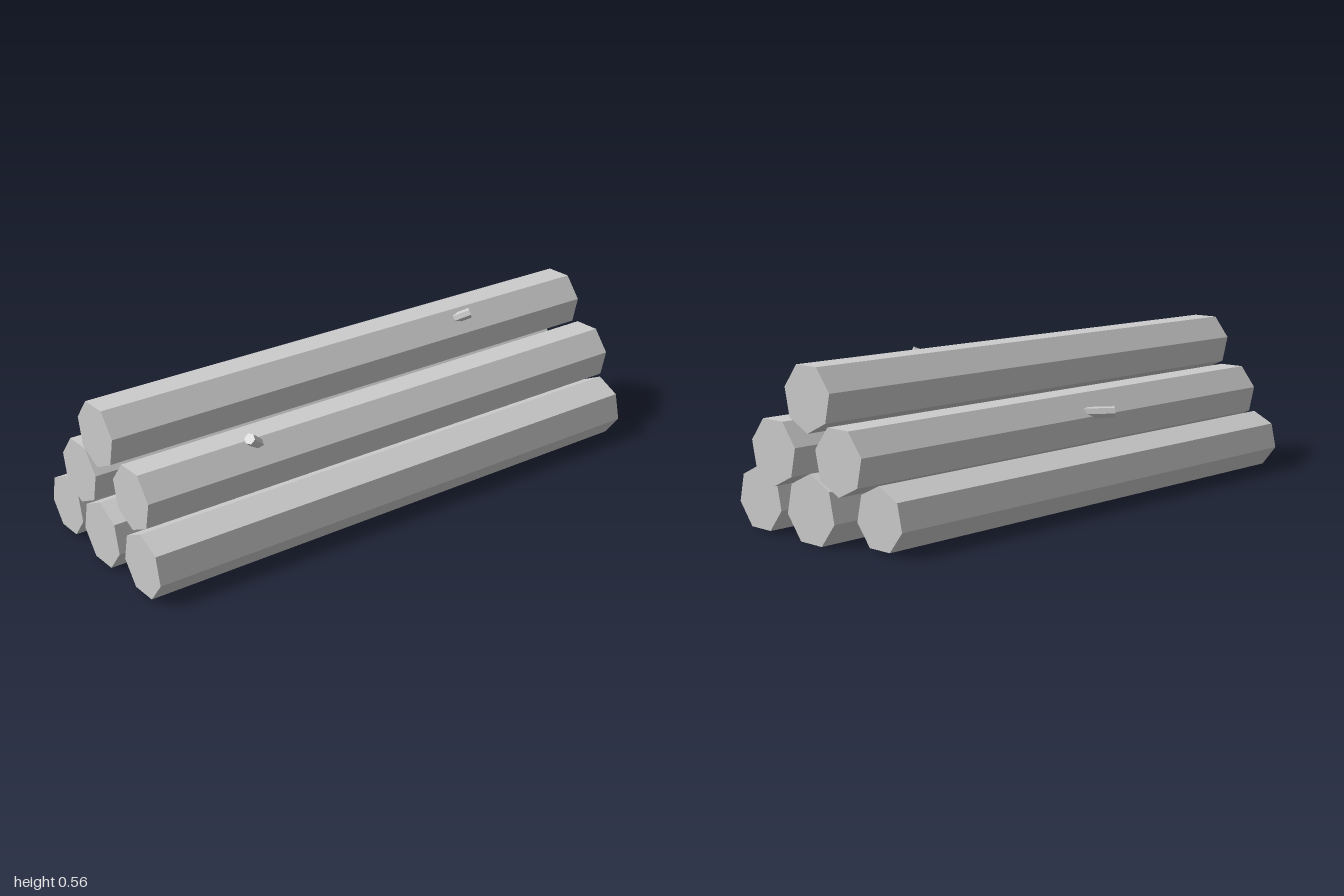
import * as THREE from 'three';

export function createModel() {
  const group = new THREE.Group();
  const material = new THREE.MeshStandardMaterial({ color: 0xcccccc, flatShading: true });

  // Seven-sided log along z; "up" puts a corner on top, otherwise it points down
  function addLog(name, x, y, zBack, zFront, rBack, rFront, up) {
    const geometry = new THREE.CylinderGeometry(rFront, rBack, zFront - zBack, 7);
    geometry.rotateX(Math.PI / 2);
    if (up) geometry.rotateZ(Math.PI);
    const log = new THREE.Mesh(geometry, material);
    log.name = name;
    log.position.set(x, y, (zFront + zBack) / 2);
    group.add(log);
  }

  // Six-sided cut branch, its base sunk into the log
  function addStub(name, base, tip, radius) {
    const a = new THREE.Vector3(...base);
    const b = new THREE.Vector3(...tip);
    const axis = b.clone().sub(a);
    const stub = new THREE.Mesh(new THREE.CylinderGeometry(radius, radius, axis.length(), 6), material);
    stub.name = name;
    stub.position.copy(a).add(b).multiplyScalar(0.5);
    stub.quaternion.setFromUnitVectors(new THREE.Vector3(0, 1, 0), axis.normalize());
    group.add(stub);
  }

  // Bottom row
  addLog('bottomRightLog', -0.251, 0.105, -0.9, 0.99, 0.104, 0.104, true);
  addLog('bottomMiddleLog', -0.007, 0.105, -0.965, 1, 0.116, 0.113, true);
  addLog('bottomLeftLog', 0.244, 0.106, -0.965, 1, 0.109, 0.109, true);
  // Middle row
  addLog('middleRightLog', -0.137, 0.275, -0.96, 0.995, 0.11, 0.11, false);
  addLog('middleLeftLog', 0.129, 0.277, -0.997, 0.962, 0.11, 0.11, false);
  // Top log
  addLog('topLog', -0.003, 0.455, -0.967, 1, 0.11, 0.11, false);

  // Branch stubs
  addStub('topStub', [0.04, 0.51, -0.38], [0.086, 0.542, -0.452], 0.018);
  addStub('middleLeftStub', [0.165, 0.33, 0.49], [0.206, 0.396, 0.568], 0.019);
  addStub('middleRightStub', [-0.19, 0.311, 0.02], [-0.279, 0.311, 0.14], 0.02);

  return group;
}
